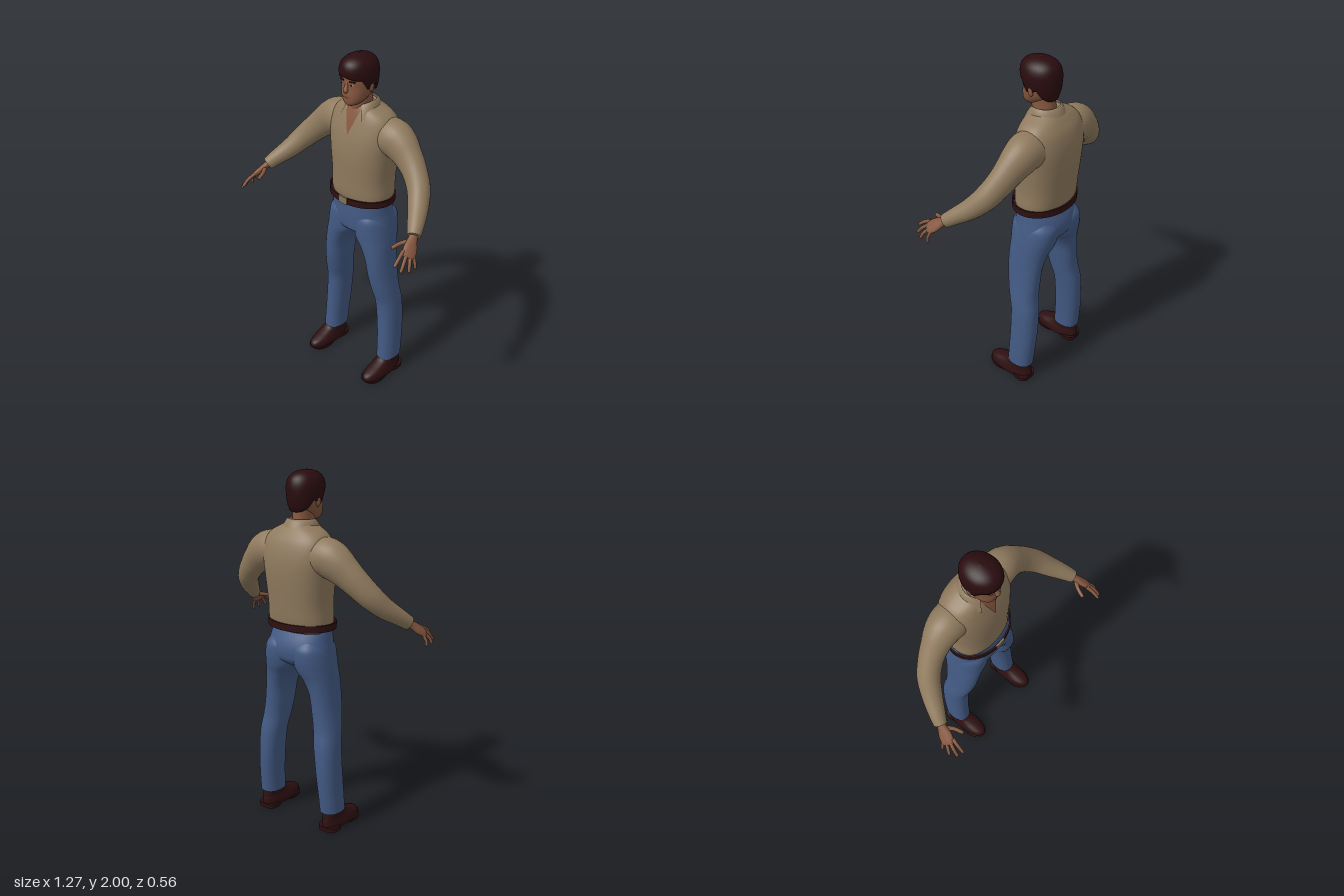
import * as THREE from 'three';
import { toCreasedNormals } from 'three/addons/utils/BufferGeometryUtils.js';

const V = (x, y, z) => new THREE.Vector3(x, y, z);
const lerp = THREE.MathUtils.lerp;
const material = (name, color, side = THREE.FrontSide) => {
  const m = new THREE.MeshStandardMaterial({ color, side });
  m.name = name;
  return m;
};

// Smoothly interpolate a short list of number rows (Catmull-Rom)
function smooth(rows, steps = 5) {
  const out = [];
  for (let i = 0; i < rows.length - 1; i++) {
    const a = rows[Math.max(i - 1, 0)], b = rows[i], c = rows[i + 1], d = rows[Math.min(i + 2, rows.length - 1)];
    for (let k = 0; k < steps; k++) {
      const t = k / steps;
      out.push(b.map((_, n) => 0.5 * (2 * b[n] + (c[n] - a[n]) * t + (2 * a[n] - 5 * b[n] + 4 * c[n] - d[n]) * t * t
        + (3 * b[n] - a[n] - 3 * c[n] + d[n]) * t * t * t)));
    }
  }
  out.push(rows[rows.length - 1]);
  return out;
}

// Skin a list of closed rings of points, capping both ends
function skin(rings) {
  const n = rings[0].length, pos = [], idx = [];
  rings.forEach((r) => r.forEach((p) => pos.push(p.x, p.y, p.z)));
  for (let i = 0; i < rings.length - 1; i++) for (let j = 0; j < n; j++) {
    const a = i * n + j, b = i * n + (j + 1) % n;
    idx.push(a, b, b + n, a, b + n, a + n);
  }
  [0, rings.length - 1].forEach((k) => {
    const c = V(0, 0, 0), centre = pos.length / 3;
    rings[k].forEach((p) => c.addScaledVector(p, 1 / n));
    pos.push(c.x, c.y, c.z);
    const start = pos.length / 3;
    rings[k].forEach((p) => pos.push(p.x, p.y, p.z));
    for (let j = 0; j < n; j++) {
      const a = start + j, b = start + (j + 1) % n;
      k === 0 ? idx.push(centre, b, a) : idx.push(centre, a, b);
    }
  });
  return geometry(pos, idx);
}

function geometry(pos, idx) {
  const g = new THREE.BufferGeometry();
  g.setAttribute('position', new THREE.Float32BufferAttribute(pos, 3));
  g.setIndex(idx);
  g.computeVertexNormals();
  return g;
}

// Point on a horizontal section [y, xMin, xMax, zBack, zFront]
function onRow([y, x0, x1, z0, z1], a, e = 2) {
  const p = (v) => Math.sign(v) * Math.abs(v) ** (2 / e);
  return V((x0 + x1) / 2 + p(Math.sin(a)) * (x1 - x0) / 2, y, (z0 + z1) / 2 + p(Math.cos(a)) * (z1 - z0) / 2);
}
const angles = (n) => Array.from({ length: n }, (_, i) => i / n * Math.PI * 2);
const stack = (rows, e = 2, n = 40) => skin(smooth(rows).map((r) => angles(n).map((a) => onRow(r, a, e))));
const even = (rows) => rows.map(([y, w, b, f]) => [y, -w, w, b, f]);

// Interpolated section at a height, and the front surface depth there
function rowAt(rows, y) {
  const s = smooth(rows);
  let i = 0;
  while (i < s.length - 2 && s[i + 1][0] < y) i++;
  const t = THREE.MathUtils.clamp((y - s[i][0]) / (s[i + 1][0] - s[i][0]), 0, 1);
  return s[i].map((v, k) => lerp(v, s[i + 1][k], t));
}
function frontZ(rows, x, y, e = 2) {
  const [, , w, b, f] = rowAt(rows, y);
  return (b + f) / 2 + (f - b) / 2 * Math.max(0, 1 - Math.abs(x / w) ** e) ** (1 / e);
}

// Sweep an ellipse along rows [x, y, z, radiusAlongAxis, otherRadius]
function sweep(rows, axis = V(0, 1, 0), n = 20, steps = 5) {
  const s = smooth(rows, steps);
  const c = s.map((r) => V(r[0], r[1], r[2]));
  return skin(s.map((r, i) => {
    const t = c[Math.min(i + 1, c.length - 1)].clone().sub(c[Math.max(i - 1, 0)]).normalize();
    const u = axis.clone().addScaledVector(t, -axis.dot(t)).normalize(), v = t.clone().cross(u);
    return angles(n).map((a) => c[i].clone().addScaledVector(u, Math.cos(a) * r[3]).addScaledVector(v, Math.sin(a) * r[4]));
  }));
}

// Open sheet from a function of u, v in 0..1
function sheet(fn, nu, nv) {
  const pos = [], idx = [];
  for (let i = 0; i <= nu; i++) for (let j = 0; j <= nv; j++) pos.push(...fn(i / nu, j / nv).toArray());
  for (let i = 0; i < nu; i++) for (let j = 0; j < nv; j++) {
    const a = i * (nv + 1) + j, b = a + nv + 1;
    idx.push(a, b, b + 1, a, b + 1, a + 1);
  }
  return geometry(pos, idx);
}

export function createModel() {
  const model = new THREE.Group();
  const shirt = material('tan shirt', 0x8f7a5e, THREE.DoubleSide), denim = material('blue denim', 0x435a84);
  const skinTone = material('skin', 0x85573f, THREE.DoubleSide), hairMat = material('dark hair', 0x2a0c0f, THREE.DoubleSide);
  const leather = material('dark leather', 0x2e1011), metal = material('buckle metal', 0x827058);
  const white = material('eye white', 0x9a8a80), lip = material('lip', 0x683d30);
  const add = (name, geo, mat, parent = model) => {
    const m = new THREE.Mesh(geo, mat);
    m.name = name;
    parent.add(m);
    return m;
  };

  // Shirt body
  const torso = even([[1.15, 0.172, -0.235, 0], [1.2, 0.187, -0.255, 0.016], [1.3, 0.184, -0.267, 0.02], [1.45, 0.198, -0.28, 0.022],
    [1.55, 0.21, -0.278, 0.01], [1.63, 0.2, -0.26, -0.012], [1.68, 0.165, -0.232, -0.03], [1.715, 0.1, -0.205, -0.045], [1.735, 0.07, -0.18, -0.055]]);
  add('shirtBody', stack(torso, 2.4, 56), shirt);

  // Open neckline and folded collar
  add('chest', sheet((u, v) => {
    const y = lerp(1.57, 1.728, v), x = (u * 2 - 1) * (0.002 + 0.055 * v);
    return V(x, y, frontZ(torso, x, y, 2.4) + 0.004);
  }, 8, 14), skinTone);
  add('collar', sheet((u, v) => {
    const a = lerp(0.6, Math.PI * 2 - 0.6, u), f = Math.max(0, Math.cos(a)) ** 2;
    const top = V(Math.sin(a) * 0.074, 1.75 - 0.025 * f, -0.112 + Math.cos(a) * 0.072);
    const hem = V(Math.sin(a) * lerp(0.098, 0.145, f), 1.71 - 0.08 * f, -0.115 + Math.cos(a) * lerp(0.1, 0.125, f));
    return top.lerp(hem, v).add(V(0, 0.008 * Math.sin(v * Math.PI), 0));
  }, 40, 4), shirt);

  // Belt and buckle
  const band = new THREE.Shape().absellipse(0, 0.113, 0.205, 0.158, 0, Math.PI * 2);
  band.holes.push(new THREE.Path().absellipse(0, 0.113, 0.196, 0.149, 0, Math.PI * 2));
  const belt = new THREE.ExtrudeGeometry(band, { depth: 0.038, bevelEnabled: false, curveSegments: 56 });
  belt.rotateX(-Math.PI / 2).translate(0, 1.163, 0);
  add('belt', toCreasedNormals(belt, 0.6), leather);
  add('buckle', new THREE.BoxGeometry(0.06, 0.042, 0.01), metal).position.set(0, 1.182, 0.044);

  // Trouser seat
  add('trouserSeat', stack(even([[0.945, 0.08, -0.19, -0.03], [0.975, 0.17, -0.235, 0.002], [1.0, 0.2, -0.253, 0.01],
    [1.05, 0.196, -0.26, 0.013], [1.1, 0.187, -0.248, 0.012], [1.165, 0.18, -0.215, 0.008]]), 2.3), denim);

  // Neck and head
  add('neck', stack(even([[1.62, 0.07, -0.17, -0.035], [1.7, 0.058, -0.17, -0.035], [1.76, 0.054, -0.165, -0.03], [1.82, 0.055, -0.16, -0.04]])), skinTone);
  const head = even([[1.733, 0.018, -0.035, 0], [1.745, 0.042, -0.07, 0.012], [1.77, 0.064, -0.11, 0.017], [1.8, 0.076, -0.15, 0.018],
    [1.84, 0.083, -0.17, 0.014], [1.88, 0.086, -0.18, 0.016], [1.94, 0.08, -0.17, 0.01], [1.975, 0.05, -0.13, -0.02]]);
  add('head', stack(head, 2.2), skinTone);
  add('nose', sweep([[0, 1.873, 0.006, 0.008, 0.008], [0, 1.845, 0.016, 0.009, 0.01], [0, 1.822, 0.022, 0.013, 0.015], [0, 1.812, 0.018, 0.006, 0.009]], V(0, 0, 1), 14), skinTone);
  const mouth = (name, y, w, h) => add(name, sheet((u, v) => {
    const x = (u * 2 - 1) * w, py = y + (v - 0.5) * h * (1 - (u * 2 - 1) ** 2);
    return V(x, py, frontZ(head, x, py, 2.2) + 0.003);
  }, 10, 2), lip);
  mouth('mouth', 1.786, 0.026, 0.012);

  // Hair cap with fringe, sideburns and nape
  const hair = even([[1.78, 0.068, -0.172, -0.005], [1.82, 0.086, -0.186, 0.012], [1.87, 0.094, -0.194, 0.027], [1.92, 0.096, -0.195, 0.036],
    [1.96, 0.083, -0.182, 0.026], [1.985, 0.056, -0.153, -0.004], [1.997, 0.025, -0.115, -0.045], [2, 0.002, -0.082, -0.078]]);
  const hairline = [1.897, 1.893, 1.885, 1.885, 1.83, 1.835, 1.85, 1.805, 1.79, 1.786, 1.785];
  const edge = (a) => {
    const t = Math.abs(a) / Math.PI * (hairline.length - 1), i = Math.min(Math.floor(t), hairline.length - 2);
    return lerp(hairline[i], hairline[i + 1], t - i);
  };
  add('hair', sheet((u, v) => {
    const a = (u * 2 - 1) * Math.PI, low = edge(a);
    const k = Math.max(0, (v - 0.06) / 0.94), y = lerp(low, 2, 1 - (1 - k) ** 1.6);
    const p = onRow(rowAt(hair, y), a);
    return v === 0 ? V(p.x * 0.86, low, lerp(-0.08, p.z, 0.86)) : p;
  }, 60, 17), hairMat);

  for (const s of [1, -1]) {
    const side = s > 0 ? 'left' : 'right';
    const flip = (rows) => rows.map(([x, ...r]) => [x * s, ...r]);
    const part = (name) => side + name;

    // Eye, brow and ear
    const facePlate = (name, geo, mat, x, y, lift) => {
      const m = add(part(name), geo, mat);
      m.position.set(x * s, y, frontZ(head, x, y, 2.2) + lift);
      m.rotation.y = 0.35 * s;
    };
    facePlate('Eye', new THREE.CircleGeometry(0.011, 16).scale(1, 0.5, 1), white, 0.034, 1.858, 0.004);
    facePlate('Iris', new THREE.CircleGeometry(0.0055, 12), hairMat, 0.033, 1.858, 0.006);
    facePlate('Brow', new THREE.BoxGeometry(0.034, 0.007, 0.006), hairMat, 0.036, 1.874, 0.002);
    const ear = add(part('Ear'), new THREE.SphereGeometry(1, 14, 10), skinTone);
    ear.scale.set(0.009, 0.028, 0.016);
    ear.position.set(0.086 * s, 1.838, -0.082);

    // Sleeve
    add(part('Sleeve'), sweep(flip([[0.1, 1.555, -0.14, 0.1, 0.1], [0.19, 1.565, -0.14, 0.106, 0.1], [0.25, 1.54, -0.138, 0.1, 0.09], [0.31, 1.495, -0.128, 0.085, 0.075],
      [0.37, 1.44, -0.11, 0.074, 0.066], [0.43, 1.375, -0.075, 0.066, 0.062], [0.48, 1.31, -0.015, 0.056, 0.055], [0.525, 1.258, 0.053, 0.045, 0.045], [0.553, 1.222, 0.1, 0.038, 0.036]]), V(0, 1, 0), 28), shirt);

    // Hand: palm, fingers and thumb
    const hand = new THREE.Group();
    hand.name = part('Hand');
    model.add(hand);
    const across = V(-0.04 * s, 0.03, 0.05);
    add('palm', sweep(flip([[0.545, 1.232, 0.085, 0.025, 0.021], [0.558, 1.212, 0.115, 0.026, 0.019], [0.575, 1.185, 0.15, 0.038, 0.018],
      [0.592, 1.162, 0.182, 0.037, 0.014], [0.598, 1.153, 0.194, 0.026, 0.008]]), across), skinTone, hand);
    const digit = (name, pts, r) => {
      const rows = pts.map((p, i) => [...p, r * (1 - 0.12 * i), r * (1 - 0.12 * i)]);
      const [a, b] = pts.slice(-2), tip = b.map((v, k) => v + (v - a[k]) * 0.1);
      add(name, sweep(flip([...rows, [...tip, 0.002, 0.002]]), across, 10, 3), skinTone, hand);
    };
    digit('indexFinger', [[0.566, 1.185, 0.195], [0.575, 1.163, 0.238], [0.578, 1.134, 0.272]], 0.011);
    digit('middleFinger', [[0.582, 1.172, 0.187], [0.6, 1.145, 0.227], [0.607, 1.108, 0.257]], 0.011);
    digit('ringFinger', [[0.596, 1.16, 0.175], [0.618, 1.13, 0.204], [0.627, 1.098, 0.218]], 0.0105);
    digit('littleFinger', [[0.606, 1.152, 0.16], [0.622, 1.122, 0.168], [0.626, 1.095, 0.168]], 0.0095);
    digit('thumb', [[0.552, 1.205, 0.128], [0.524, 1.198, 0.165], [0.508, 1.186, 0.212]], 0.013);

    // Trouser leg and shoe, sections mirrored by swapping x limits
    const flank = (rows) => rows.map(([y, a, b, ...z]) => (s > 0 ? [y, a, b, ...z] : [y, -b, -a, ...z]));
    add(part('TrouserLeg'), stack(flank([[0.11, 0.163, 0.284, -0.2, -0.042], [0.2, 0.16, 0.281, -0.21, -0.048], [0.35, 0.148, 0.275, -0.222, -0.055], [0.5, 0.13, 0.267, -0.22, -0.054],
      [0.6, 0.115, 0.254, -0.206, -0.03], [0.7, 0.102, 0.238, -0.206, -0.01], [0.8, 0.088, 0.226, -0.212, 0], [0.88, 0.05, 0.218, -0.225, 0.005],
      [0.94, 0.004, 0.211, -0.245, 0.009], [1.0, -0.005, 0.203, -0.258, 0.01], [1.06, 0, 0.19, -0.258, 0.006], [1.1, 0.02, 0.165, -0.23, -0.02]]), 2.3), denim);
    add(part('Shoe'), stack(flank([[0.014, 0.166, 0.286, -0.197, 0.096], [0.035, 0.166, 0.286, -0.2, 0.1], [0.055, 0.17, 0.282, -0.2, 0.085], [0.07, 0.175, 0.278, -0.197, 0.05],
      [0.085, 0.178, 0.275, -0.195, 0.008], [0.105, 0.178, 0.275, -0.192, -0.035], [0.135, 0.18, 0.272, -0.188, -0.055]]), 2.2), leather);
    add(part('Sole'), stack(flank([[0.004, 0.164, 0.288, -0.07, 0.09], [0.018, 0.162, 0.29, -0.12, 0.102]]), 2.2), leather);
    add(part('Heel'), stack(flank([[0, 0.17, 0.285, -0.2, -0.095], [0.026, 0.168, 0.286, -0.203, -0.085]]), 3), leather);
  }
  return model;
}
